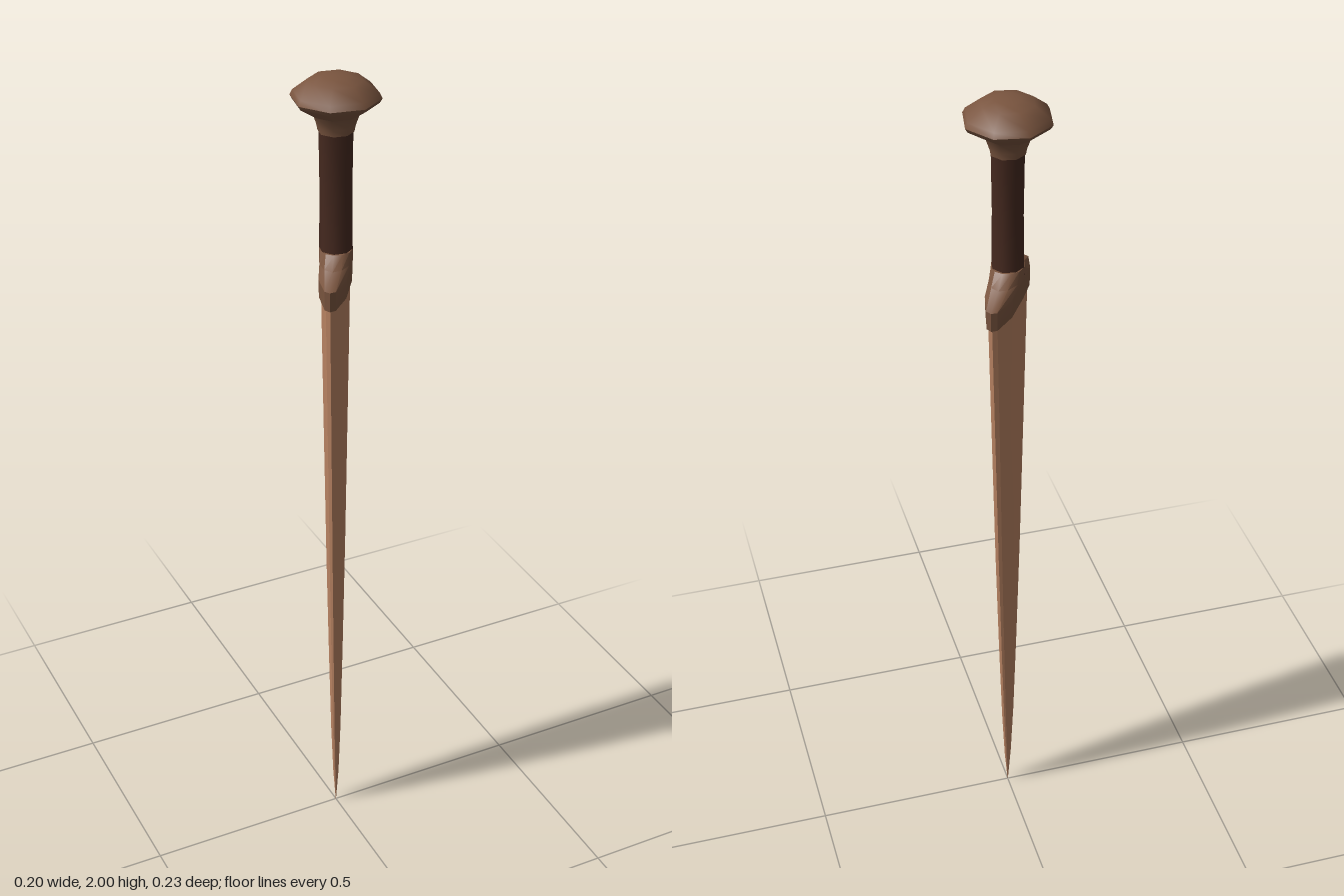
import * as THREE from 'three';
import { toCreasedNormals } from 'three/addons/utils/BufferGeometryUtils.js';

const bladeBronze = new THREE.MeshStandardMaterial({ color: 0xba8463 });
const darkBronze = new THREE.MeshStandardMaterial({ color: 0x7a553f });
const gripLeather = new THREE.MeshStandardMaterial({ color: 0x45291f });
bladeBronze.name = 'bladeBronze';
darkBronze.name = 'darkBronze';
gripLeather.name = 'gripLeather';

// Flattened lens section with pointed ends, going from +x towards +z
function lens(w, t) {
  const half = [[1, 0], [0.95, 0.34], [0.55, 0.85], [0, 1], [-0.55, 0.85], [-0.95, 0.34]];
  return [...half, ...half.map(([x, z]) => [-x, -z])].map(([x, z]) => [x * w, z * t]);
}

// Oval section with the same number of points as the lens
function oval(w, t) {
  return Array.from({ length: 12 }, (_, i) => {
    const a = (i / 12) * Math.PI * 2;
    return [Math.cos(a) * w, Math.sin(a) * t];
  });
}

// Skins rings of 3D points from bottom to top and caps both ends
function loft(rings, crease) {
  const n = rings[0].length, last = rings.length - 1;
  const pos = rings.flat(2), idx = [];
  for (let r = 0; r < last; r++) {
    for (let i = 0; i < n; i++) {
      const j = (i + 1) % n, a = r * n, b = a + n;
      idx.push(a + i, b + i, a + j, a + j, b + i, b + j);
    }
  }
  for (let i = 1; i < n - 1; i++) {
    idx.push(0, i, i + 1, last * n, last * n + i + 1, last * n + i);
  }
  const g = new THREE.BufferGeometry();
  g.setAttribute('position', new THREE.Float32BufferAttribute(pos, 3));
  g.setIndex(idx);
  return toCreasedNormals(g, crease);
}

const lift = (section, y, sag = 0) =>
  section.map(([x, z]) => [x, y - sag * Math.abs(x) / 0.13, z]);

function turned(profile) {
  const points = profile.map(([r, y]) => new THREE.Vector2(r, y));
  return toCreasedNormals(new THREE.LatheGeometry(points, 8, 0.21), 0.82);
}

function add(parent, name, geometry, material) {
  const mesh = new THREE.Mesh(geometry, material);
  mesh.name = name;
  parent.add(mesh);
}

export function createModel() {
  const dagger = new THREE.Group();
  dagger.name = 'dagger';

  // Blade and guard lie on a plane turned about the grip
  const flat = new THREE.Group();
  flat.name = 'bladeAndGuard';
  flat.rotation.y = 1.014;
  dagger.add(flat);

  // Blade: height, half width, half thickness
  const blade = [
    [0, 0.0006, 0.0004], [0.1, 0.015, 0.007], [0.25, 0.032, 0.012], [0.5, 0.054, 0.017],
    [0.8, 0.077, 0.022], [1.2, 0.103, 0.027], [1.54, 0.125, 0.031],
  ];
  add(flat, 'blade', loft(blade.map(([y, w, t]) => lift(lens(w, t), y)), 0.6), bladeBronze);

  // Guard: lens-shaped collar that sweeps up to the grip
  add(flat, 'guard', loft([
    lift(lens(0.13, 0.036), 1.52, 0.015),
    lift(lens(0.132, 0.037), 1.56, 0.008),
    lift(oval(0.075, 0.038), 1.575),
    lift(oval(0.042, 0.038), 1.6),
  ], 0.6), darkBronze);

  // Grip
  add(dagger, 'grip', turned([[0.038, 1.58], [0.036, 1.73], [0.038, 1.885]]), gripLeather);

  // Pommel: flared neck, narrow rim and domed cap
  add(dagger, 'pommel', turned([
    [0, 1.875], [0.04, 1.875], [0.043, 1.89], [0.052, 1.915], [0.094, 1.942],
    [0.1, 1.952], [0.094, 1.964], [0.06, 1.99], [0.03, 1.998], [0, 2],
  ]), darkBronze);

  return dagger;
}
